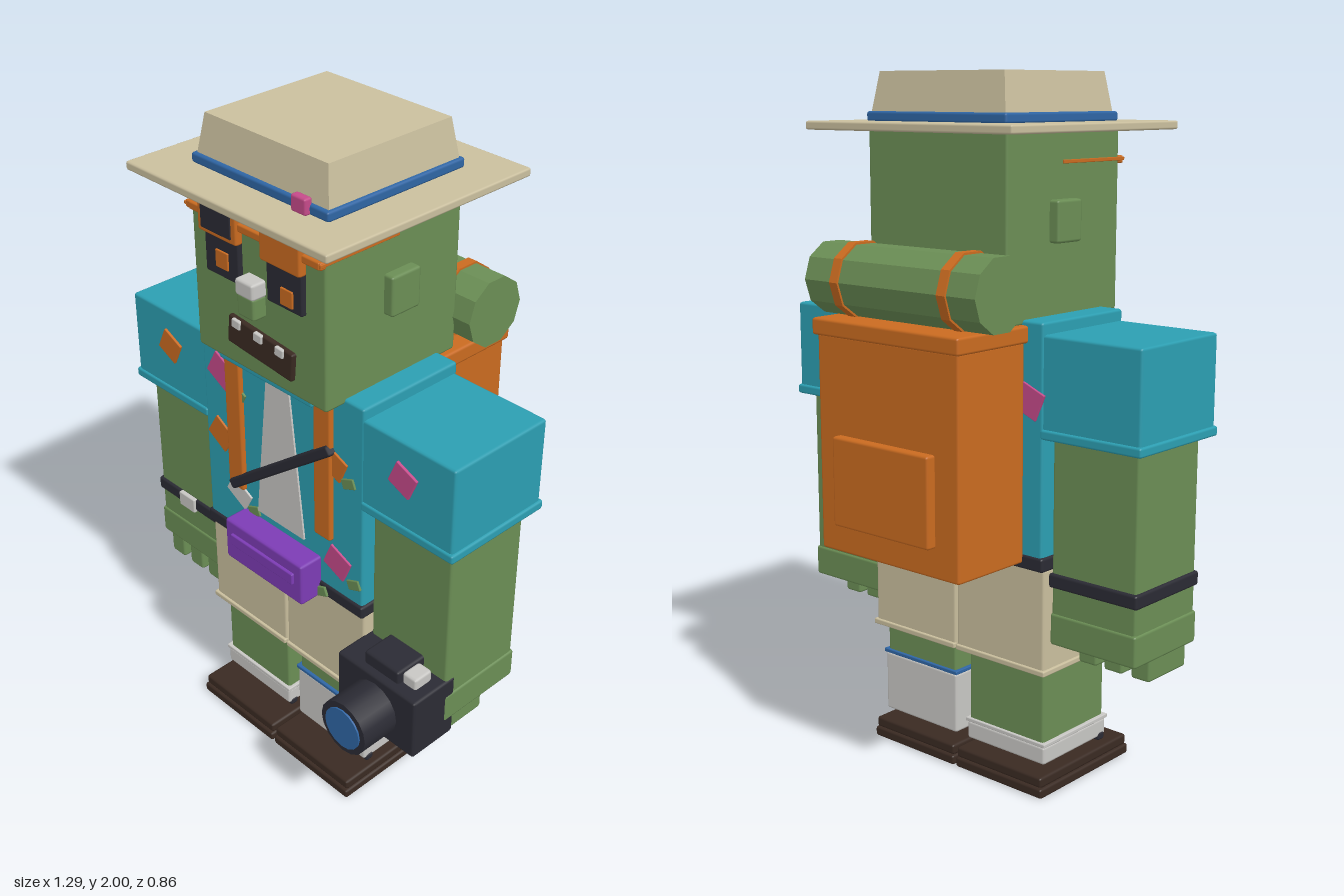
import * as THREE from 'three';
import { RoundedBoxGeometry } from 'three/addons/geometries/RoundedBoxGeometry.js';

const paint = (name, color) => Object.assign(new THREE.MeshStandardMaterial({ color }), { name });

export function createModel() {
  const green = paint('skin green', 0x6b8e55), teal = paint('shirt teal', 0x2c9fb2);
  const tan = paint('khaki', 0xcabf9e), orange = paint('orange', 0xca6b20);
  const dark = paint('charcoal', 0x2b2b34), white = paint('off white', 0xc8c7c4);
  const blue = paint('blue', 0x2f66a5), purple = paint('purple', 0x7d3cb5);
  const brown = paint('dark brown', 0x3a2a22), pink = paint('pink', 0xc64a8a);

  const model = new THREE.Group();
  model.name = 'tourist';
  const add = (name, geometry, material, x = 0, y = 0, z = 0) => {
    const mesh = new THREE.Mesh(geometry, material);
    mesh.name = name;
    mesh.position.set(x, y, z);
    model.add(mesh);
    return mesh;
  };
  // Chamfered box given by its extents on each axis
  const box = (name, mat, [x0, x1], [y0, y1], [z0, z1], tilt = 0) => {
    const w = x1 - x0, h = y1 - y0, d = z1 - z0;
    const bevel = Math.min(0.008, Math.min(w, h, d) / 4);
    const mesh = add(name, new RoundedBoxGeometry(w, h, d, 1, bevel), mat,
      (x0 + x1) / 2, (y0 + y1) / 2, (z0 + z1) / 2);
    mesh.rotation.z = tilt;
    return mesh;
  };
  const span = (s, a, b) => (s > 0 ? [a, b] : [-b, -a]);

  // Head, ears and face
  box('head', green, [-0.252, 0.252], [1.34, 1.86], [-0.2, 0.28]);
  for (const s of [-1, 1]) box('ear', green, span(s, 0.245, 0.283), [1.55, 1.665], [-0.025, 0.078]);
  box('rightEye', dark, [-0.185, -0.055], [1.595, 1.72], [0.275, 0.295]);
  box('leftEye', dark, [0.052, 0.182], [1.595, 1.72], [0.275, 0.295]);
  box('rightPupil', orange, [-0.14, -0.092], [1.622, 1.672], [0.29, 0.3]);
  box('leftPupil', orange, [0.107, 0.152], [1.607, 1.655], [0.29, 0.3]);
  box('nose', green, [-0.035, 0.03], [1.53, 1.595], [0.27, 0.322]);
  box('noseSunscreen', white, [-0.037, 0.032], [1.59, 1.637], [0.27, 0.326]);
  box('mouth', brown, [-0.11, 0.14], [1.398, 1.482], [0.27, 0.294], -0.09);
  [[-0.072, 1.476], [0.013, 1.469], [0.095, 1.461]].forEach(([x, y]) =>
    box('tooth', white, [x - 0.016, x + 0.016], [y - 0.013, y + 0.013], [0.285, 0.3], -0.09));

  // Glasses: one lens clear, one covered
  box('glassesBar', orange, [-0.24, 0.25], [1.75, 1.772], [0.282, 0.3]);
  box('rightFrame', orange, [-0.197, -0.047], [1.71, 1.807], [0.282, 0.307]);
  box('rightLens', dark, [-0.18, -0.065], [1.724, 1.794], [0.303, 0.311]);
  box('leftFrame', orange, [0.042, 0.19], [1.71, 1.807], [0.282, 0.309]);
  for (const s of [-1, 1]) {
    box('temple', orange, span(s, 0.25, 0.257), [1.758, 1.768], [0.03, 0.3]);
    box('hinge', orange, span(s, 0.225, 0.255), [1.75, 1.772], [0.278, 0.298]);
  }

  // Sun hat
  box('hatBrim', tan, [-0.374, 0.372], [1.843, 1.867], [-0.325, 0.39]);
  box('bentBrim', tan, [0.18, 0.32], [1.828, 1.845], [0.27, 0.36], -0.06);
  box('hatBand', blue, [-0.255, 0.252], [1.865, 1.893], [-0.207, 0.27]);
  const crown = new THREE.BoxGeometry(0.486, 0.115, 0.456);
  const cp = crown.attributes.position;
  for (let i = 0; i < cp.count; i++) {
    if (cp.getY(i) > 0) cp.setXYZ(i, cp.getX(i) * 0.925, cp.getY(i), cp.getZ(i) * 0.925);
  }
  crown.computeVertexNormals();
  add('hatCrown', crown, tan, 0, 1.9425, 0.032);
  box('hatFlower', pink, [0.135, 0.188], [1.865, 1.91], [0.26, 0.285]);

  // Shirt body, collar and pale front panel
  box('shirt', teal, [-0.323, 0.323], [0.7, 1.355], [-0.135, 0.215]);
  box('collar', teal, [-0.19, 0.18], [1.315, 1.345], [0.1, 0.265]);
  const panel = new THREE.Shape([[-0.1, 0.82], [0.095, 0.82], [0.035, 1.35], [-0.042, 1.35]]
    .map(p => new THREE.Vector2(...p)));
  add('undershirt', new THREE.ExtrudeGeometry(panel, { depth: 0.009, bevelEnabled: false }), white, 0, 0, 0.212);

  // Printed shirt patches: colour, x, y, width, height, tilt
  const patches = [
    [orange, -0.472, 1.212, 0.078, 0.076, -0.45], [pink, -0.243, 1.227, 0.09, 0.085, -0.5],
    [orange, -0.255, 1.012, 0.085, 0.08, -0.55], [white, -0.183, 0.84, 0.09, 0.065, -0.5],
    [pink, 0.228, 0.812, 0.085, 0.08, -0.4], [pink, 0.466, 1.212, 0.078, 0.076, -0.4],
    [orange, 0.215, 1.137, 0.08, 0.075, -0.4], [green, 0.27, 1.1, 0.048, 0.03, 0.4],
    [green, 0.293, 0.77, 0.048, 0.03, 0.4], [green, 0.17, 0.683, 0.048, 0.03, 0.4],
    [green, -0.12, 0.805, 0.048, 0.03, 0.4], [green, -0.167, 1.187, 0.048, 0.03, -0.5],
  ];
  for (const [mat, x, y, w, h, tilt] of patches) {
    const z = y < 0.7 ? 0.225 : 0.215;
    box('shirtPatch', mat, [x - w / 2, x + w / 2], [y - h / 2, y + h / 2], [z - 0.003, z + 0.006], tilt);
  }
  box('backPatch', pink, [-0.32, -0.24], [1.1, 1.18], [-0.141, -0.132], 0.4);
  box('backPatch', pink, [0.24, 0.32], [0.83, 0.91], [-0.141, -0.132], 0.4);
  box('backPatch', green, [0.26, 0.31], [1.12, 1.15], [-0.141, -0.132], 0.4);
  box('sidePatch', pink, [-0.329, -0.32], [0.82, 0.9], [0.06, 0.14]);

  // Sleeves, arms and hands
  for (const s of [-1, 1]) {
    box('sleeve', teal, span(s, 0.31, 0.638), [1.05, 1.322], [-0.13, 0.213]);
    box('sleeveCuff', teal, span(s, 0.315, 0.645), [1.04, 1.068], [-0.137, 0.219]);
    box('arm', green, span(s, 0.33, 0.612), [0.53, 1.05], [-0.097, 0.18]);
    box('hand', green, span(s, 0.328, 0.617), [0.455, 0.547], [-0.102, 0.185]);
    for (const x of [0.382, 0.47, 0.562])
      box('finger', green, span(s, x - 0.031, x + 0.031), [0.38, 0.465], [0, 0.175]);
  }
  box('watchBand', dark, [-0.62, -0.323], [0.62, 0.662], [-0.105, 0.188]);
  box('watchFace', white, [-0.51, -0.438], [0.615, 0.664], [0.18, 0.196]);

  // Belt, shorts, legs, socks and sandals
  box('belt', dark, [-0.33, 0.33], [0.668, 0.71], [-0.14, 0.222]);
  for (const s of [-1, 1]) {
    box('shorts', tan, span(s, 0.003, 0.325), [0.37, 0.672], [-0.125, 0.208]);
    box('shortsHem', tan, span(s, 0.003, 0.332), [0.365, 0.382], [-0.132, 0.216]);
    box('leg', green, span(s, 0.028, 0.305), [0.1, 0.38], [-0.098, 0.18]);
    const top = s > 0 ? 0.27 : 0.14;
    box('sock', white, span(s, 0.022, 0.312), [0.086, top], [-0.102, 0.186]);
    box('sockTop', s > 0 ? blue : white, span(s, 0.018, 0.316), [top, top + 0.012], [-0.106, 0.19]);
    box('sandalStrap', dark, span(s, 0.02, 0.315), [0.076, 0.1], [0.15, 0.178]);
    box('upperSole', brown, span(s, 0.006, 0.326), [0.03, 0.062], [-0.132, 0.272]);
    box('lowerSole', brown, span(s, 0.004, 0.33), [0, 0.03], [-0.136, 0.278]);
  }

  // Waist pouch
  box('pouch', purple, [-0.165, 0.16], [0.658, 0.795], [0.21, 0.292]);
  box('pouchPocket', purple, [-0.135, 0.13], [0.72, 0.757], [0.285, 0.301]);

  // Pack straps and diagonal camera strap
  box('rightPackStrap', orange, [-0.215, -0.152], [0.865, 1.345], [0.205, 0.23]);
  box('leftPackStrap', orange, [0.146, 0.21], [0.88, 1.345], [0.205, 0.23]);
  box('cameraStrap', dark, [-0.255, 0.265], [1.011, 1.043], [0.21, 0.238], Math.atan2(0.315, 0.41));

  // Backpack
  box('backpack', orange, [-0.262, 0.26], [0.685, 1.3], [-0.4, -0.137]);
  box('packLid', orange, [-0.273, 0.27], [1.295, 1.343], [-0.412, -0.13]);
  box('packPocket', orange, [-0.18, 0.18], [0.77, 1.025], [-0.43, -0.395]);

  // Bedroll with two ties
  const roll = (name, radius, length, mat, x) => {
    const g = new THREE.CylinderGeometry(radius, radius, length, 10).toNonIndexed();
    g.computeVertexNormals();
    add(name, g, mat, x, 1.442, -0.29).rotation.z = Math.PI / 2;
  };
  roll('bedroll', 0.103, 0.626, green, 0);
  for (const x of [-0.2, 0.195]) roll('bedrollTie', 0.109, 0.03, orange, x);

  // Camera held in the left hand
  box('cameraBody', dark, [0.32, 0.615], [0.4, 0.6], [0.145, 0.305]);
  box('viewfinder', dark, [0.4, 0.53], [0.59, 0.64], [0.15, 0.28]);
  box('flash', white, [0.53, 0.58], [0.595, 0.635], [0.2, 0.265]);
  const disc = (name, r, depth, z, mat) =>
    add(name, new THREE.CylinderGeometry(r, r, depth, 16), mat, 0.466, 0.493, z).rotation.x = Math.PI / 2;
  disc('cameraLens', 0.084, 0.13, 0.36, dark);
  disc('lensGlass', 0.065, 0.02, 0.42, blue);

  return model;
}
